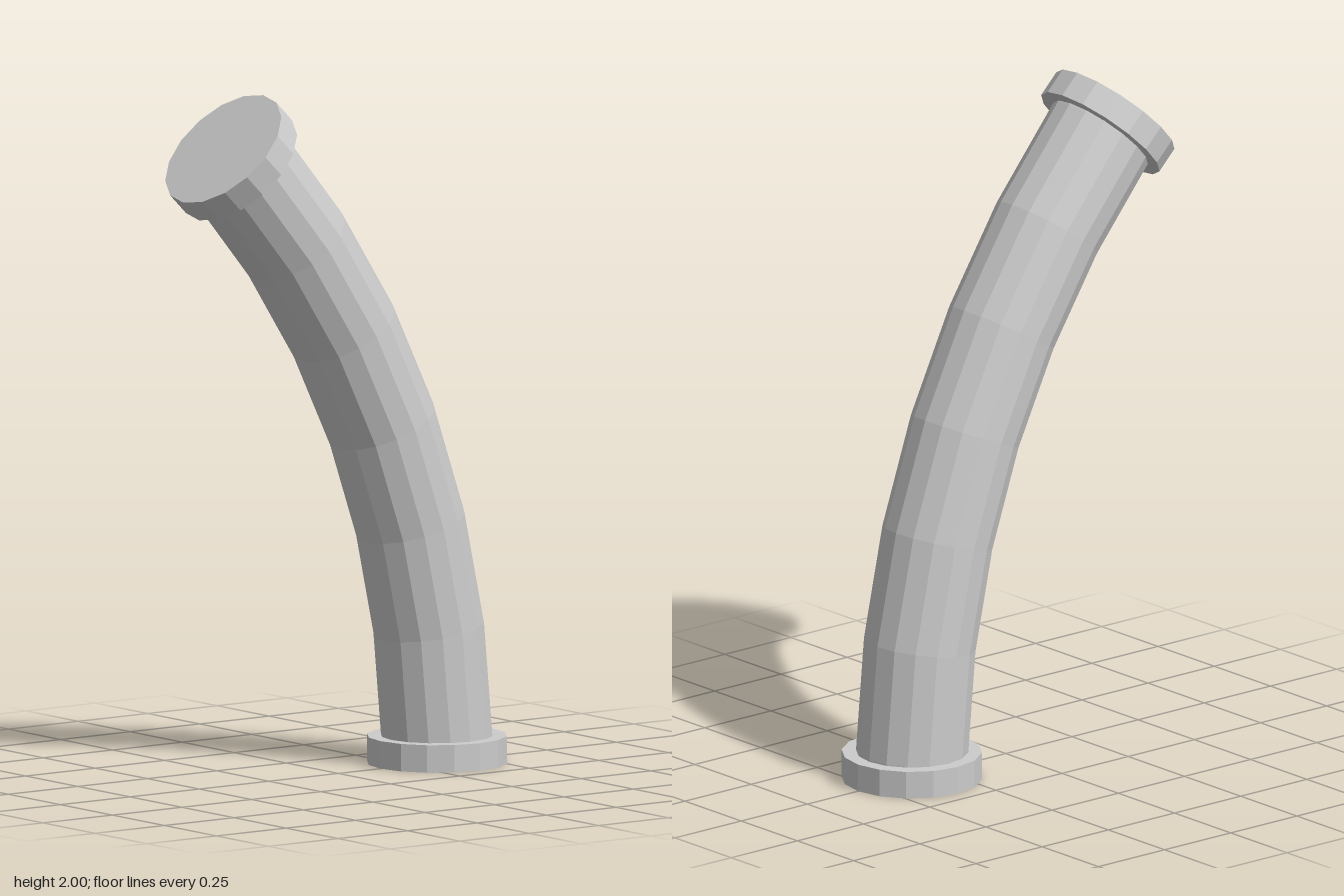
import * as THREE from 'three';

const SIDES = 16;
const BEND = Math.PI / 4;        // total sweep of the pipe
const R = 2.625;                 // radius of the centre line
const START_X = 0.355;           // centre of the lower end
const CENTRE_X = START_X - R;    // centre of the bend
const PIPE_R = 0.162, FLANGE_R = 0.203, FLANGE_H = 0.08;
const STEPS = 6;

// Bends a straight upright tube along the arc, one ring per angle
function bentPipe(angles) {
  const rows = angles.length - 1;
  const geo = new THREE.CylinderGeometry(PIPE_R, PIPE_R, rows, SIDES, rows, true);
  const p = geo.attributes.position;
  for (let i = 0; i < p.count; i++) {
    const a = angles[Math.round(p.getY(i) + rows / 2)];
    const r = R + p.getX(i);
    p.setXYZ(i, CENTRE_X + r * Math.cos(a), r * Math.sin(a), p.getZ(i));
  }
  geo.computeVertexNormals();
  return geo;
}

export function createModel() {
  const group = new THREE.Group();
  const mat = new THREE.MeshStandardMaterial({ color: 0xcccccc, flatShading: true });

  // Pipe: even rings between the flanges, with short ends tucked inside them
  const inset = FLANGE_H / R;
  const angles = [inset * 0.5];
  for (let i = 0; i <= STEPS; i++) angles.push(inset + (BEND - 2 * inset) * i / STEPS);
  angles.push(BEND - inset * 0.5);
  const pipe = new THREE.Mesh(bentPipe(angles), mat);
  pipe.name = 'pipe';
  group.add(pipe);

  // Flanges: closed discs whose outer faces lie on the two ends of the arc
  for (const [name, angle, dir] of [['lowerFlange', 0, 1], ['upperFlange', BEND, -1]]) {
    const geo = new THREE.CylinderGeometry(FLANGE_R, FLANGE_R, FLANGE_H, SIDES);
    geo.translate(0, dir * FLANGE_H / 2, 0);
    const flange = new THREE.Mesh(geo, mat);
    flange.name = name;
    flange.position.set(CENTRE_X + R * Math.cos(angle), R * Math.sin(angle), 0);
    flange.rotation.z = angle;
    group.add(flange);
  }
  return group;
}
